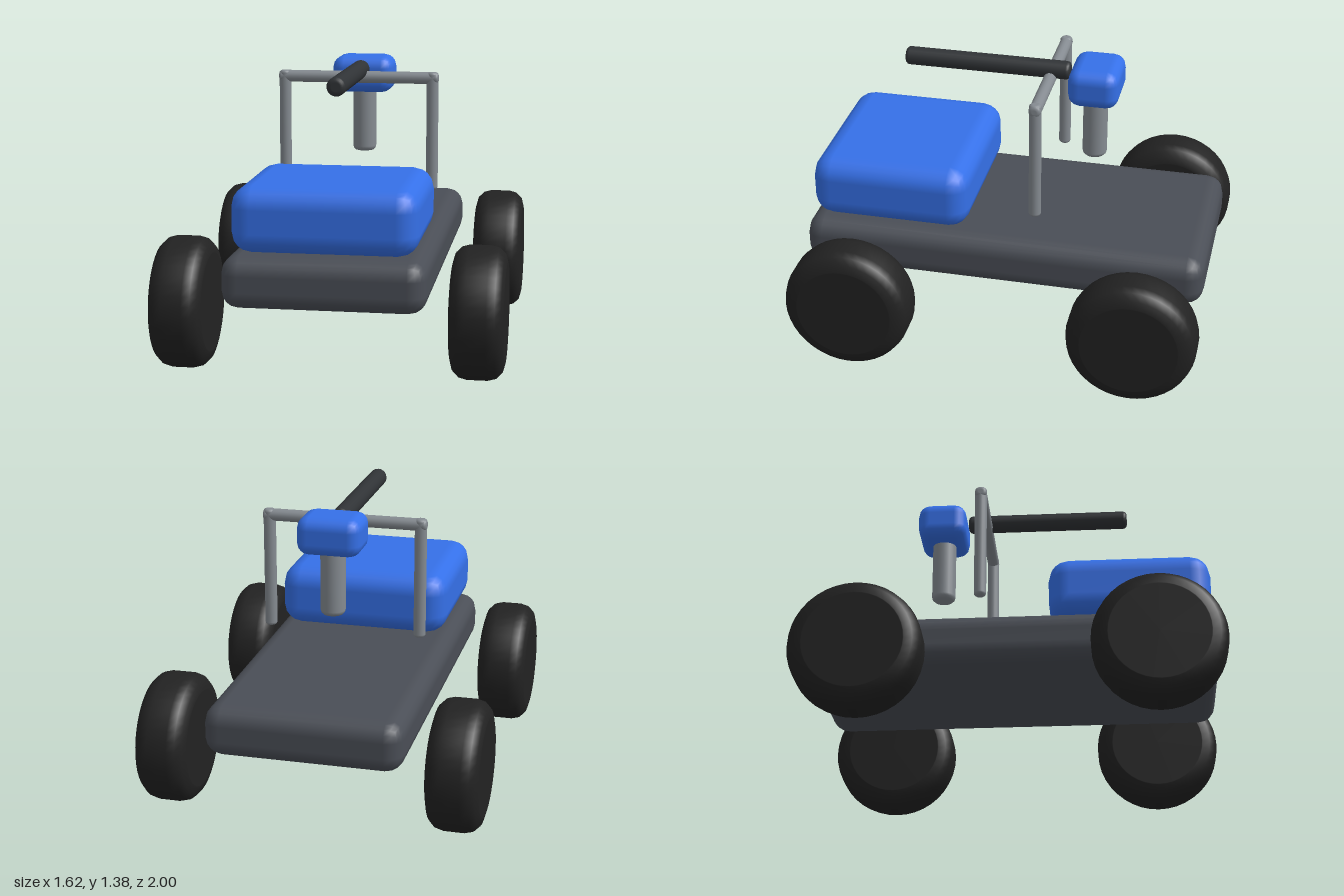
import * as THREE from 'three';
import { RoundedBoxGeometry } from 'three/addons/geometries/RoundedBoxGeometry.js';

const paint = (color) => new THREE.MeshStandardMaterial({ color });
const BLUE = paint(0x3570e8);
const CHASSIS = paint(0x4a4e56);
const RUBBER = paint(0x222222);
const STEEL = paint(0x858b91);
const GUNMETAL = paint(0x303336);

// Solid cylinder along y with bevelled rims
function bevelledCylinder(radius, length, bevel, sides) {
  const h = length / 2;
  const points = [new THREE.Vector2(0, -h), new THREE.Vector2(radius - bevel - 0.004, -h)];
  for (const end of [-1, 1]) {
    for (let i = 0; i <= 3; i++) {
      const a = ((end < 0 ? i : 3 - i) / 3) * Math.PI / 2;
      points.push(new THREE.Vector2(
        radius - bevel + bevel * Math.sin(a),
        end * (h - bevel + bevel * Math.cos(a))
      ));
    }
  }
  points.push(new THREE.Vector2(radius - bevel - 0.004, h), new THREE.Vector2(0, h));
  return new THREE.LatheGeometry(points, sides);
}

export function createModel() {
  const model = new THREE.Group();
  model.name = 'buggy';

  const add = (name, geometry, material, x, y, z) => {
    const mesh = new THREE.Mesh(geometry, material);
    mesh.name = name;
    mesh.position.set(x, y, z);
    model.add(mesh);
    return mesh;
  };

  // Body
  add('chassis', new RoundedBoxGeometry(0.94, 0.245, 1.97, 2, 0.085), CHASSIS, 0, 0.4675, 0);
  add('hood', new RoundedBoxGeometry(0.86, 0.31, 0.78, 2, 0.1), BLUE, 0, 0.75, 0.565);

  // Wheels
  const wheel = bevelledCylinder(0.31, 0.247, 0.075, 40).rotateZ(Math.PI / 2);
  for (const [side, sx] of [['left', 1], ['right', -1]]) {
    for (const [end, sz] of [['Front', 1], ['Rear', -1]]) {
      add(`${side}${end}Wheel`, wheel, RUBBER, sx * 0.688, 0.31, sz * 0.69);
    }
  }

  // Roll bar: two uprights and a crossbar
  const upright = bevelledCylinder(0.03, 0.595, 0.015, 16);
  add('leftRollBarUpright', upright, STEEL, 0.375, 1.0175, -0.155);
  add('rightRollBarUpright', upright, STEEL, -0.375, 1.0175, -0.155);
  add('rollBarCrossbar', bevelledCylinder(0.03, 0.81, 0.015, 16).rotateZ(Math.PI / 2),
    STEEL, 0, 1.285, -0.155);

  // Turret: post, head and forward barrel
  add('turretPost', bevelledCylinder(0.06, 0.35, 0.025, 24), STEEL, 0, 1.055, -0.375);
  add('turretHead', new RoundedBoxGeometry(0.31, 0.185, 0.245, 2, 0.06), BLUE, 0, 1.2825, -0.3775);
  add('turretBarrel', bevelledCylinder(0.045, 0.815, 0.02, 20).rotateX(Math.PI / 2),
    GUNMETAL, 0, 1.317, 0.1575);

  return model;
}
